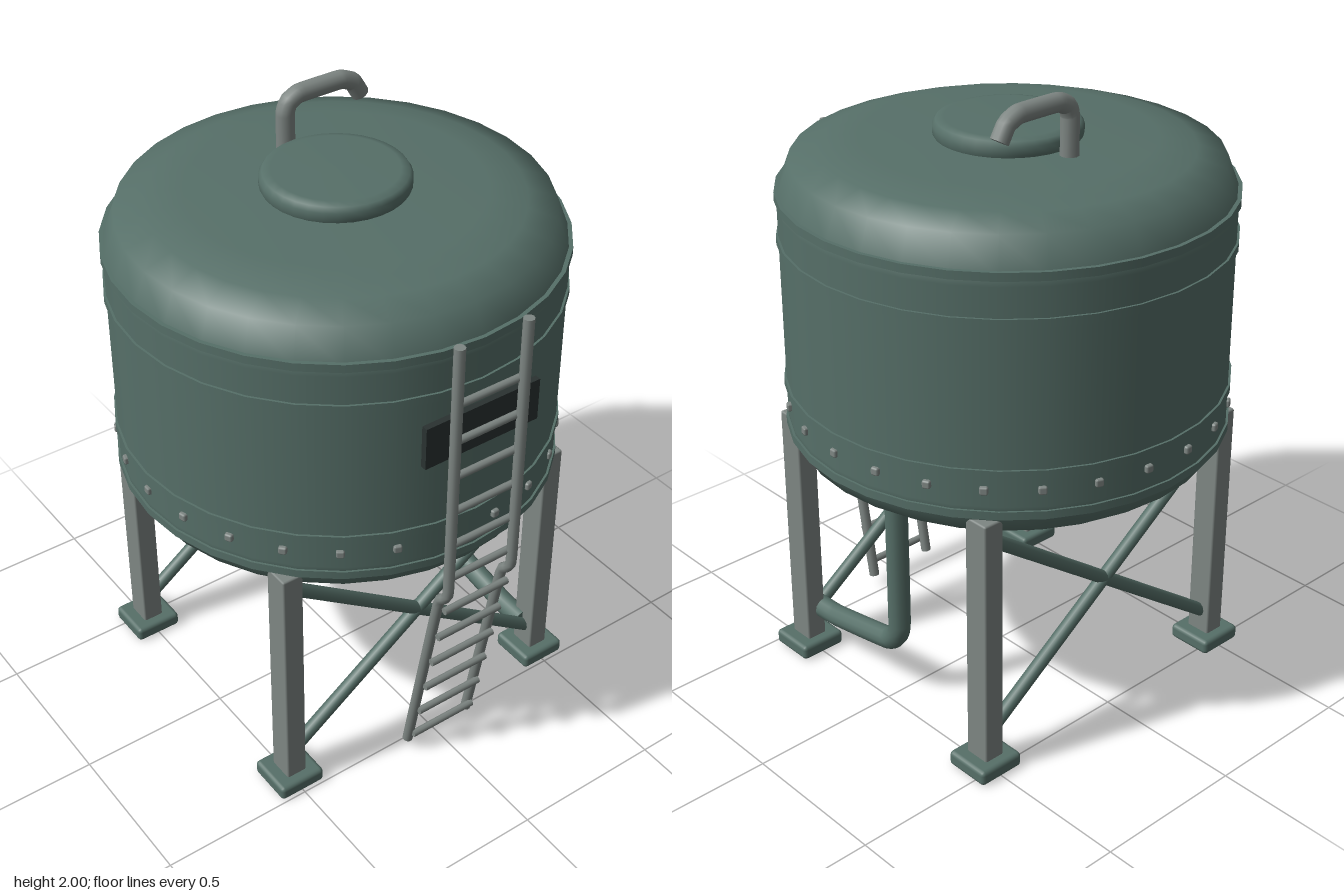
import * as THREE from 'three';
import { RoundedBoxGeometry } from 'three/addons/geometries/RoundedBoxGeometry.js';
import { mergeGeometries } from 'three/addons/utils/BufferGeometryUtils.js';

const material = (name, color) => Object.assign(new THREE.MeshStandardMaterial({ color }), { name });
const V = (x, y, z) => new THREE.Vector3(x, y, z);

export function createModel() {
  const green = material('tank green', 0x566f68);
  const grey = material('steel grey', 0x7e8683);
  const black = material('plate black', 0x2a3231);

  const CZ = -0.025; // depth of the tank axis
  const R = 0.69;
  const model = new THREE.Group();
  model.name = 'waterTank';

  const add = (name, geometry, mat, x = 0, y = 0, z = 0, parent = model) => {
    const mesh = new THREE.Mesh(geometry, mat);
    mesh.name = name;
    mesh.position.set(x, y, z);
    parent.add(mesh);
    return mesh;
  };
  const group = (name) => {
    const g = new THREE.Group();
    g.name = name;
    model.add(g);
    return g;
  };
  const lathe = (points, segments) =>
    new THREE.LatheGeometry(points.map(([r, y]) => new THREE.Vector2(r, y)), segments);

  // Round bar along a path, closed with a disc at each end
  const bar = (points, radius, sides = 10, steps = 40) => {
    const straight = points.length === 2;
    const curve = straight
      ? new THREE.LineCurve3(points[0], points[1])
      : new THREE.CatmullRomCurve3(points, false, 'catmullrom', 0.15);
    const parts = [new THREE.TubeGeometry(curve, straight ? 1 : steps, radius, sides)];
    for (const t of [0, 1]) {
      const out = curve.getTangent(t).multiplyScalar(t ? 1 : -1);
      const end = curve.getPoint(t);
      const cap = new THREE.CircleGeometry(radius, sides);
      cap.applyQuaternion(new THREE.Quaternion().setFromUnitVectors(V(0, 0, 1), out));
      cap.translate(end.x, end.y, end.z);
      parts.push(cap);
    }
    return mergeGeometries(parts);
  };

  // Tank shell with rounded bottom and dome
  add('tankBody', lathe([
    [0, 0.77], [0.53, 0.77], [0.61, 0.805], [0.66, 0.84], [R, 0.9], [R, 0.93],
    [R, 1.61], [R, 1.64], [0.65, 1.745], [0.56, 1.775], [0.445, 1.8], [0, 1.805],
  ], 32), green, 0, 0, CZ);

  // Raised hoops
  const hoops = group('hoops');
  for (const y of [0.905, 1.038, 1.505, 1.642]) {
    add('hoop', new THREE.CylinderGeometry(0.697, 0.697, 0.026, 32), green, 0, y, CZ, hoops);
  }

  // Rivets between the two lower hoops
  const rivets = group('rivets');
  for (let i = 0; i < 26; i++) {
    const a = (i / 26) * Math.PI * 2;
    const rivet = add('rivet', new RoundedBoxGeometry(0.026, 0.026, 0.02, 1, 0.006), grey,
      Math.cos(a) * R, 0.985, CZ + Math.sin(a) * R, rivets);
    rivet.rotation.y = Math.PI / 2 - a;
  }

  // Roof hatch
  add('hatch', lathe([
    [0.215, 1.79], [0.225, 1.81], [0.225, 1.835], [0.215, 1.85], [0.19, 1.856], [0, 1.858],
  ], 32), green, 0, 0, CZ);

  // Bent vent pipe on the roof
  add('ventPipe', bar([
    V(0, 1.78, -0.282), V(0, 1.92, -0.282), V(0.012, 1.952, -0.282), V(0.05, 1.97, -0.282),
    V(0.2, 1.97, -0.282), V(0.245, 1.95, -0.282), V(0.272, 1.905, -0.282),
  ], 0.029, 12, 48), grey);

  // Legs and feet
  const legs = group('legs');
  for (const sx of [-1, 1]) {
    for (const sz of [-1, 1]) {
      const x = sx * 0.5, z = CZ + sz * 0.44;
      add('leg', new RoundedBoxGeometry(0.07, 0.84, 0.086, 1, 0.006), grey, x, 0.46, z, legs);
      add('foot', new RoundedBoxGeometry(0.16, 0.05, 0.157, 2, 0.014), green, x, 0.025, z, legs);
    }
  }

  // Crossed braces at front and back
  const braces = group('braces');
  for (const sz of [-1, 1]) {
    for (const sx of [-1, 1]) {
      const z = CZ + sz * 0.44;
      add('brace', bar([V(sx * 0.5, 0.815, z), V(-sx * 0.5, 0.105, z)], 0.022), green, 0, 0, 0, braces);
    }
  }

  // Drain pipe under the tank
  add('drainPipe', bar([
    V(0.466, 0.86, CZ), V(0.466, 0.27, CZ), V(0.466, 0.2, 0.025),
    V(0.466, 0.15, 0.3), V(0.466, 0.145, 0.41),
  ], 0.036, 12, 48), green);

  // Dark plate behind the ladder
  add('plate', new THREE.BoxGeometry(0.405, 0.14, 0.02), black, 0, 1.365, 0.672);

  // Ladder
  const ladder = group('ladder');
  for (const x of [-0.12, 0.12]) {
    add('ladderRail', bar([
      V(x, 1.69, 0.707), V(x, 0.81, 0.707), V(x, 0.74, 0.665), V(x, 0.045, 0.538),
    ], 0.017, 10, 60), grey, 0, 0, 0, ladder);
  }
  for (let i = 0; i < 12; i++) {
    const y = 0.085 + i * 0.1273;
    const z = Math.min(0.694, 0.548 + 0.2 * y);
    add('ladderRung', bar([V(-0.12, y, z), V(0.12, y, z)], 0.012, 8), grey, 0, 0, 0, ladder);
  }

  return model;
}
